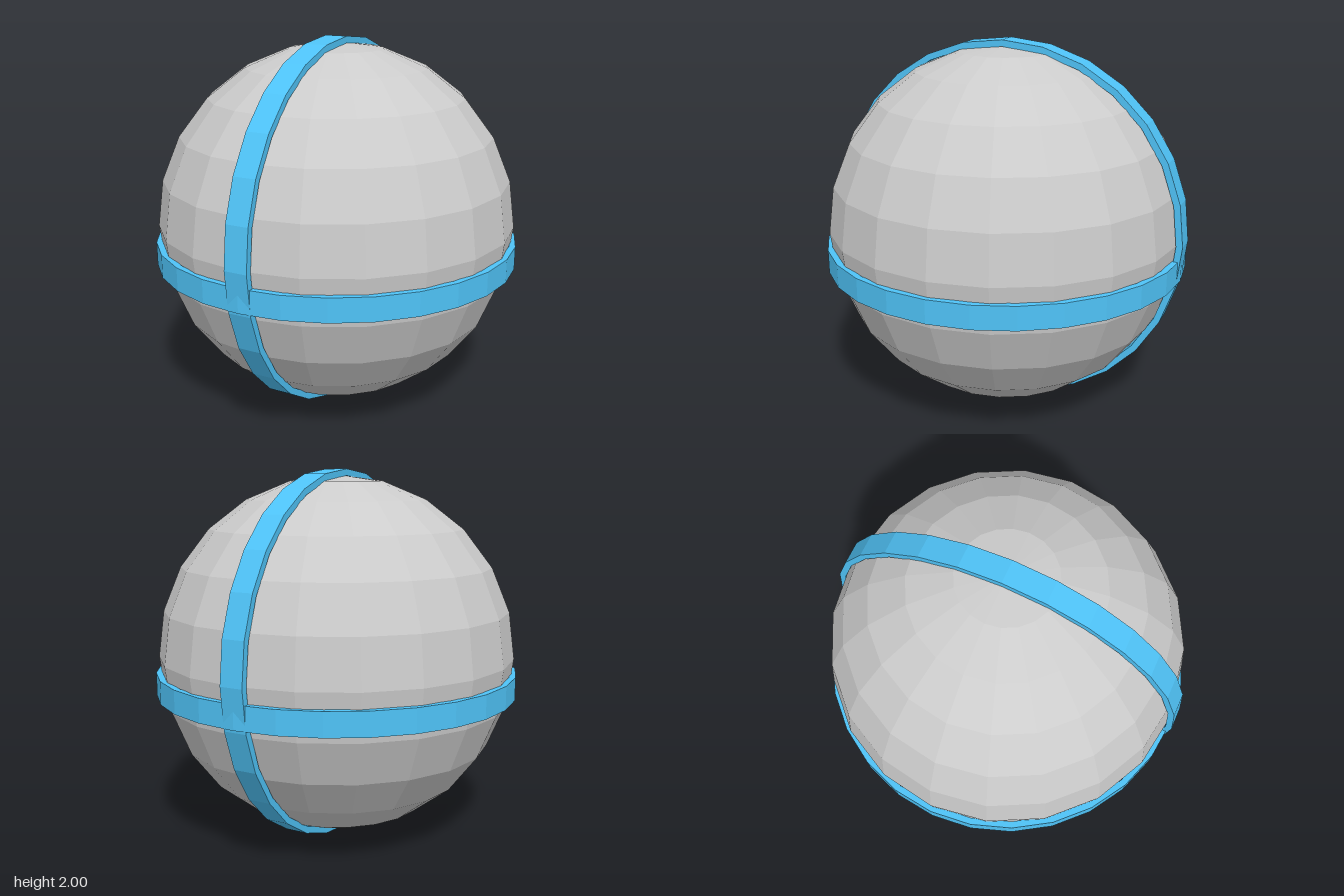
import * as THREE from 'three';

const grey = new THREE.MeshStandardMaterial({ color: 0xcccccc, flatShading: true });
const blue = new THREE.MeshStandardMaterial({ color: 0x4fc3f7, flatShading: true });

// Flat hoop of rectangular section around the y axis
function hoop(name, inner, outer, width) {
  const h = width / 2;
  const profile = [[inner, -h], [outer, -h], [outer, h], [inner, h], [inner, -h]]
    .map(([r, y]) => new THREE.Vector2(r, y));
  const mesh = new THREE.Mesh(new THREE.LatheGeometry(profile, 28), blue);
  mesh.name = name;
  return mesh;
}

export function createModel() {
  const model = new THREE.Group();
  model.name = 'bandedBall';

  // Faceted ball
  const ball = new THREE.Mesh(new THREE.SphereGeometry(0.97, 20, 12), grey);
  ball.name = 'ball';
  ball.position.y = 1;

  // Upright band over the poles
  const uprightBand = hoop('uprightBand', 0.965, 1, 0.126);
  uprightBand.rotation.z = Math.PI / 2;
  uprightBand.position.y = 1;

  // Level band just below the middle
  const levelBand = hoop('levelBand', 0.953, 0.987, 0.126);
  levelBand.position.y = 0.855;

  model.add(ball, uprightBand, levelBand);
  return model;
}
